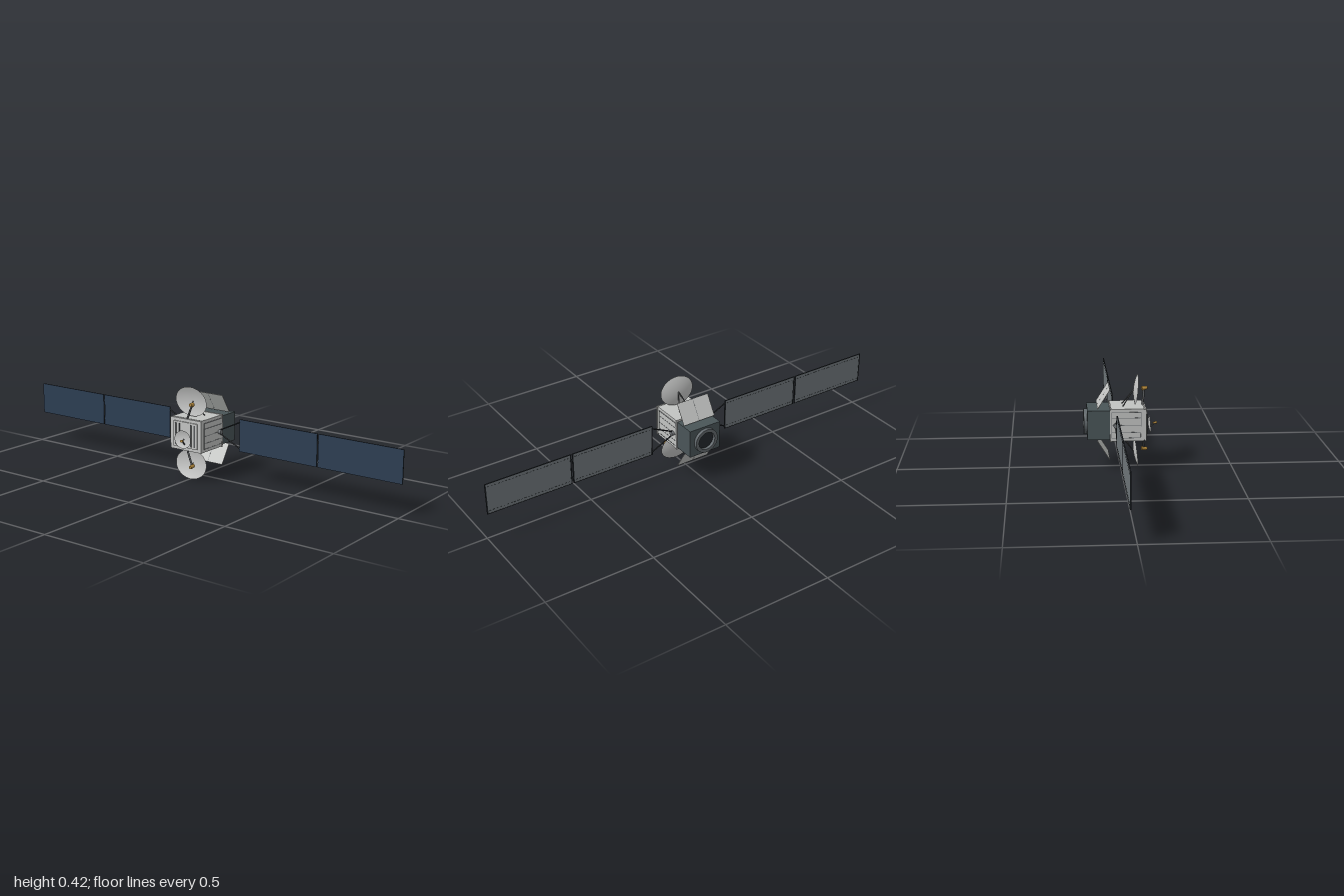
import * as THREE from 'three';
import { mergeGeometries } from 'three/addons/utils/BufferGeometryUtils.js';

const mat = (name, color, side = THREE.FrontSide) => {
  const m = new THREE.MeshStandardMaterial({ color, side });
  m.name = name;
  return m;
};

export function createModel() {
  const hull = mat('light grey hull', 0xc2c4c2);
  const dishGrey = mat('dish grey', 0xc4c5c4, THREE.DoubleSide);
  const slate = mat('dark slate', 0x4a5558);
  const ringGrey = mat('nozzle grey', 0x62696d);
  const groove = mat('groove grey', 0x74787b);
  const strutGrey = mat('strut grey', 0x55585a);
  const black = mat('frame black', 0x23282c);
  const navy = mat('solar navy', 0x2c3d52);
  const backGrey = mat('panel back grey', 0x70777b);
  const gold = mat('feed gold', 0xb98d3e);

  const model = new THREE.Group();
  model.name = 'satellite';
  const craft = new THREE.Group();
  craft.name = 'spacecraft';
  craft.position.y = 0.21;
  model.add(craft);

  const add = (name, geo, material, x = 0, y = 0, z = 0) => {
    const m = new THREE.Mesh(geo, material);
    m.name = name;
    m.position.set(x, y, z);
    craft.add(m);
    return m;
  };
  const box = (name, material, w, h, d, x, y, z) =>
    add(name, new THREE.BoxGeometry(w, h, d), material, x, y, z);
  // Round bar between two points; r2 is the radius at the far end
  const bar = (name, material, a, b, r, r2 = r, sides = 10) => {
    const p = new THREE.Vector3(...a), q = new THREE.Vector3(...b);
    const dir = q.clone().sub(p);
    const m = add(name, new THREE.CylinderGeometry(r2, r, dir.length(), sides), material);
    m.position.copy(p).add(q).multiplyScalar(0.5);
    m.quaternion.setFromUnitVectors(new THREE.Vector3(0, 1, 0), dir.normalize());
    return m;
  };
  // Shallow elliptical bowl opening to +z, leaning by tilt along y
  const dish = (name, rx, ry, depth, tilt, x, y, z) => {
    const profile = [];
    for (let i = 0; i <= 10; i++) profile.push(new THREE.Vector2(i / 10, (i / 10) ** 2));
    const g = new THREE.LatheGeometry(profile, 40);
    const p = g.attributes.position;
    for (let i = 0; i < p.count; i++) {
      const u = p.getX(i), h = p.getY(i), v = p.getZ(i);
      p.setXYZ(i, u * rx, v * ry, depth * (h - 1) + tilt * v);
    }
    g.computeVertexNormals();
    return add(name, g, dishGrey, x, y, z);
  };

  // Main bus with end frames
  box('busBody', hull, 0.164, 0.146, 0.146, 0, 0, 0.027);
  box('busRearFrame', hull, 0.17, 0.15, 0.006, 0, 0, -0.047);
  box('busFrontFrame', hull, 0.17, 0.144, 0.006, 0, 0, 0.107);
  box('busFrontCore', hull, 0.16, 0.138, 0.014, 0, 0, 0.102);
  box('frontPlate', hull, 0.13, 0.116, 0.005, 0, 0, 0.1125);
  for (const s of [1, -1]) {
    for (const x of [0.032, 0.052])
      box('frontSlot', strutGrey, 0.007, 0.1, 0.002, s * x, 0, 0.1155);
    // Side cover with thin grooves
    box('sideCover', hull, 0.003, 0.118, 0.132, s * 0.083, 0, 0.021);
    for (const y of [-0.058, -0.033, 0, 0.033, 0.058])
      box('sideGroove', groove, 0.001, 0.0025, 0.132, s * 0.0848, y, 0.021);
    for (const z of [-0.044, 0.086])
      box('sideGroove', groove, 0.001, 0.118, 0.002, s * 0.0848, 0, z);
  }

  // Rear propulsion module and nozzle ring
  box('rearModule', slate, 0.158, 0.132, 0.1, 0, 0, -0.1);
  const ringShape = new THREE.Shape().absarc(0, 0, 0.057, 0, Math.PI * 2);
  ringShape.holes.push(new THREE.Path().absarc(0, 0, 0.042, 0, Math.PI * 2));
  add('nozzleRing', new THREE.ExtrudeGeometry(ringShape,
    { depth: 0.015, bevelEnabled: false, curveSegments: 24 }), ringGrey, 0, 0, -0.165);
  const floor = add('nozzleFloor', new THREE.CircleGeometry(0.043, 32), black, 0, 0, -0.1505);
  floor.rotation.y = Math.PI;

  // Upper and lower reflectors, feeds and radiator flaps
  for (const s of [1, -1]) {
    dish('mainDish', 0.085, 0.067, 0.0125, s * 0.007, 0, s * 0.143, 0.071);
    for (const x of [0.028, -0.028])
      bar('dishStrut', strutGrey, [0, s * 0.142, 0.0585], [x, s * 0.072, 0.009], 0.0025);
    bar('feedArm', strutGrey, [0, s * 0.07, 0.099], [0.032, s * 0.134, 0.108], 0.0045);
    bar('feedHorn', gold, [0.03, s * 0.139, 0.098], [0.035, s * 0.142, 0.123], 0.0098, 0.0068, 16);
    for (const x of [0.041, -0.041]) {
      const flap = box('radiatorFlap', hull, 0.08, 0.1015, 0.002, x, s * 0.117, -0.078);
      flap.rotation.x = s * Math.atan2(0.054, 0.086);
    }
    box('flapHinge', groove, 0.003, 0.1, 0.0016, 0, s * 0.117, -0.078)
      .rotation.x = s * Math.atan2(0.054, 0.086);
  }

  // Small front reflector
  dish('frontDish', 0.045, 0.04, 0.008, -0.0025, 0, -0.017, 0.1325);
  for (const x of [0.015, -0.015])
    bar('frontDishStrut', strutGrey, [0, -0.017, 0.125], [x, -0.024, 0.112], 0.002);
  bar('frontFeedArm', strutGrey, [0, -0.052, 0.11], [0.016, -0.019, 0.153], 0.003);
  bar('frontFeedHorn', gold, [0.013, -0.017, 0.148], [0.018, -0.015, 0.164], 0.004, 0.006, 16);

  // Solar wings: hub, yoke, two panels each
  const panelMats = [black, black, black, black, navy, backGrey];
  const W = 0.3995, H = 0.146, Z = -0.025;
  for (const s of [1, -1]) {
    bar('wingHub', groove, [s * 0.08, 0, Z], [s * 0.097, 0, Z], 0.0105, 0.0105, 20);
    for (const t of [1, -1])
      bar('wingYoke', black, [s * 0.092, t * 0.01, Z], [s * 0.197, t * 0.06, Z], 0.003);
    for (const x0 of [0.195, 0.6005]) {
      const cx = s * (x0 + W / 2);
      box('solarPanel', panelMats, W, H, 0.004, cx, 0, Z);
      for (const e of [1, -1]) {
        box('panelEndTrim', black, 0.005, H, 0.001, cx + e * (W / 2 - 0.0025), 0, Z - 0.0025);
        box('panelEdgeTrim', black, W, 0.002, 0.001, cx, e * (H / 2 - 0.001), Z - 0.0025);
      }
      // Dashed stitching along both long edges of the back
      const dashes = [];
      for (let i = 0; i < 24; i++)
        for (const e of [1, -1])
          dashes.push(new THREE.BoxGeometry(0.008, 0.0018, 0.001)
            .translate((i - 11.5) * 0.016, e * 0.058, 0));
      add('panelStitching', mergeGeometries(dashes), black, cx, 0, Z - 0.0023);
    }
    for (const y of [-0.045, 0.045])
      box('panelHinge', black, 0.01, 0.008, 0.002, s * 0.5975, y, Z - 0.002);
  }
  return model;
}
